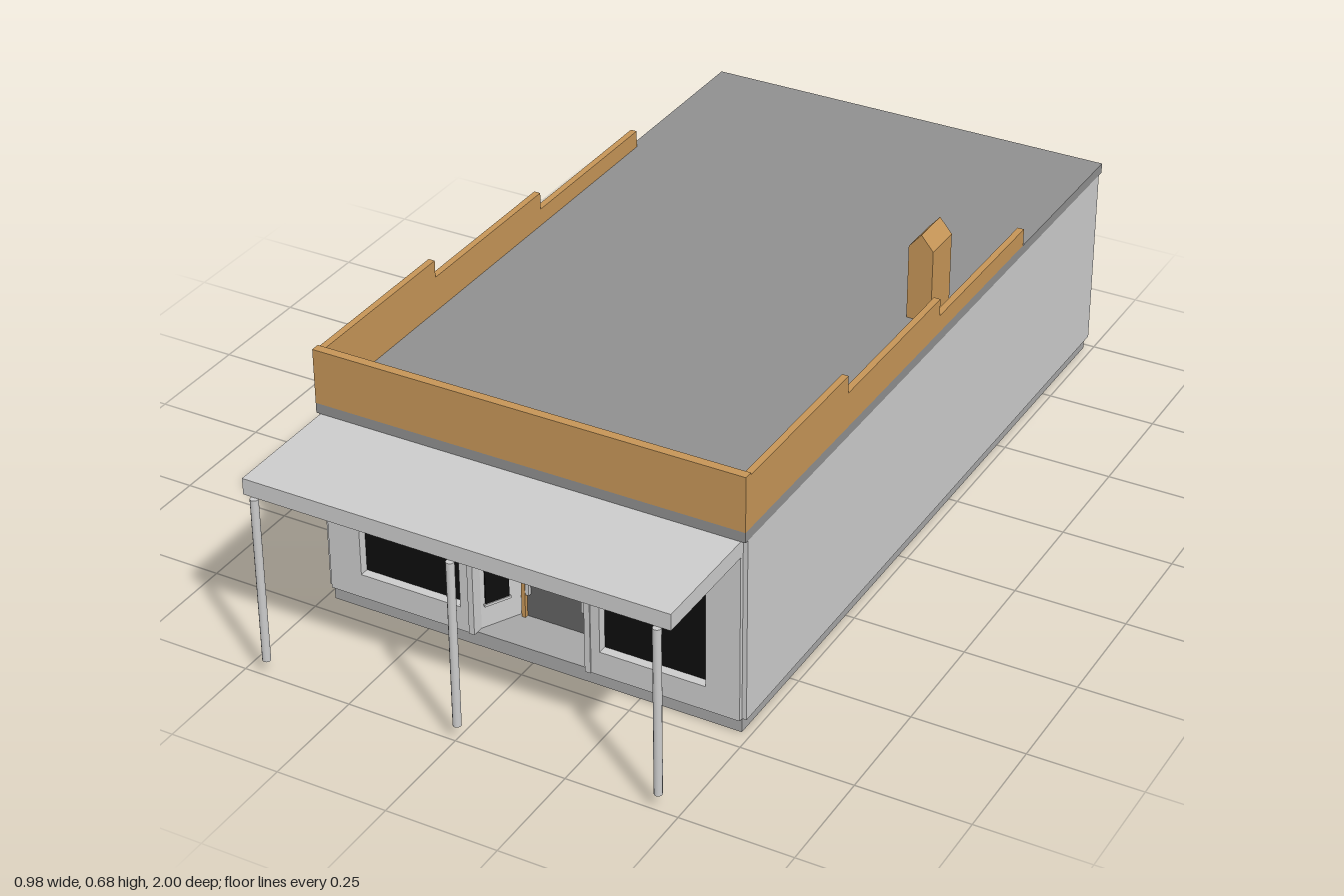
import * as THREE from 'three';

const mat = (color) => new THREE.MeshStandardMaterial({ color });
const WALL = mat(0xcccccc);
const STONE = mat(0xa6a6a6);
const ROOF = mat(0x8f8f8f);
const WOOD = mat(0xc59557);
const GLASS = mat(0x0d0d0d);
const DOOR = mat(0x626262);

export function createModel() {
  const model = new THREE.Group();

  const add = (name, geometry, material) => {
    const mesh = new THREE.Mesh(geometry, material);
    mesh.name = name;
    model.add(mesh);
    return mesh;
  };

  // Box given by its limits on each axis
  const box = (name, material, x0, x1, y0, y1, z0, z1) =>
    add(name, new THREE.BoxGeometry(x1 - x0, y1 - y0, z1 - z0), material)
      .position.set((x0 + x1) / 2, (y0 + y1) / 2, (z0 + z1) / 2);

  const polygon = (points) => new THREE.Shape(points.map(([x, y]) => new THREE.Vector2(x, y)));
  const rect = (x0, x1, y0, y1) => polygon([[x0, y0], [x1, y0], [x1, y1], [x0, y1]]);
  const extrude = (shape, depth) => new THREE.ExtrudeGeometry(shape, { depth, bevelEnabled: false });

  const base = 0.033, eave = 0.457, roofTop = 0.48;
  const side = 0.48, edge = 0.49;
  const front = 0.715, back = -1;

  // Foundation and roof slab
  box('foundation', STONE, -side, side, 0, base, -0.985, 0.705);
  box('roofSlab', ROOF, -edge, edge, eave, roofTop, back, front);

  // Inner walls, with a tapering entry recess cut into the plan (x, -z)
  const mouth = 0.13, inner = 0.082, doorZ = 0.6, faceZ = 0.69;
  const plan = polygon([
    [-side, 0.965], [-side, -faceZ], [-mouth, -faceZ], [-inner, -doorZ],
    [inner, -doorZ], [mouth, -faceZ], [side, -faceZ], [side, 0.965],
  ]);
  add('innerWalls', extrude(plan, eave - base).rotateX(-Math.PI / 2), WALL).position.y = base;
  box('entryCeiling', WALL, -mouth, mouth, 0.33, eave, doorZ, faceZ);

  // Front wall: two windows and the entry opening
  const frontShape = polygon([
    [-side, base], [-mouth, base], [-mouth, 0.33], [mouth, 0.33],
    [mouth, base], [side, base], [side, eave], [-side, eave],
  ]);
  for (const s of [-1, 1]) {
    const c = s * 0.2835;
    frontShape.holes.push(rect(c - 0.12, c + 0.12, 0.09, 0.34));
    box('frontWindow', GLASS, c - 0.12, c + 0.12, 0.09, 0.34, 0.685, 0.694);
  }
  add('frontWall', extrude(frontShape, front - faceZ), WALL).position.z = faceZ;

  // Back wall with a recessed door
  const backShape = polygon([
    [-side, base], [-0.056, base], [-0.056, 0.295], [0.056, 0.295],
    [0.056, base], [side, base], [side, eave], [-side, eave],
  ]);
  add('backWall', extrude(backShape, 0.035), WALL).position.z = back;
  box('backDoor', DOOR, -0.05, 0.05, base, 0.29, -0.975, -0.96);
  box('backDoorHead', WOOD, -0.056, 0.056, 0.288, 0.295, -1.002, -0.965);

  // Parts mirrored left and right
  for (const s of [-1, 1]) {
    const mirrored = (name, material, x0, x1, ...rest) =>
      box(name, material, Math.min(s * x0, s * x1), Math.max(s * x0, s * x1), ...rest);

    mirrored('sideWall', WALL, side, edge, base, eave, -0.985, 0.705);
    mirrored('backDoorJamb', WOOD, 0.05, 0.057, base, 0.295, -1.002, -0.965);

    // Stepped parapet along the roof edge
    mirrored('parapetHigh', WOOD, 0.475, edge, roofTop, 0.6, 0.285, 0.696);
    mirrored('parapetMiddle', WOOD, 0.475, edge, roofTop, 0.56, -0.14, 0.285);
    mirrored('parapetLow', WOOD, 0.475, edge, roofTop, 0.52, -0.565, -0.14);

    // Entry trim, door jamb and door pull
    mirrored('entryTrim', WALL, 0.13, 0.143, base, 0.33, 0.7, 0.718);
    mirrored('entryDoorJamb', WOOD, 0.071, 0.08, base, 0.33, doorZ, 0.615);
    mirrored('entryDoorPull', WALL, 0.062, 0.07, 0.09, 0.33, doorZ, 0.615);

    // Narrow window and sill on the slanted entry wall
    const slant = new THREE.Group();
    slant.name = 'entrySideWindow';
    const pane = new THREE.Mesh(new THREE.BoxGeometry(0.006, 0.238, 0.056), GLASS);
    pane.name = 'entryPane';
    const sill = new THREE.Mesh(new THREE.BoxGeometry(0.01, 0.006, 0.062), WALL);
    sill.name = 'entrySill';
    sill.position.y = -0.121;
    slant.add(pane, sill);
    slant.position.set(s * 0.112, 0.209, 0.657);
    slant.rotation.y = s * Math.atan2(mouth - inner, faceZ - doorZ);
    model.add(slant);
  }
  box('entryDoor', DOOR, -0.071, 0.071, base, 0.33, 0.595, 0.606);
  box('parapetFront', WOOD, -edge, edge, roofTop, 0.605, 0.695, front);

  // Chimney with a gabled top
  const chimney = polygon([[0.402, roofTop], [0.458, roofTop], [0.458, 0.65], [0.43, 0.683], [0.402, 0.65]]);
  add('chimney', extrude(chimney, 0.09), WOOD).position.z = -0.255;

  // Porch canopy and its three posts
  box('canopy', WALL, -side, side, 0.42, 0.457, front, 0.988);
  for (const x of [-0.452, 0, 0.452]) {
    add('canopyPost', new THREE.CylinderGeometry(0.009, 0.009, 0.42 - base, 12), WALL)
      .position.set(x, (0.42 + base) / 2, 0.991);
  }
  return model;
}
